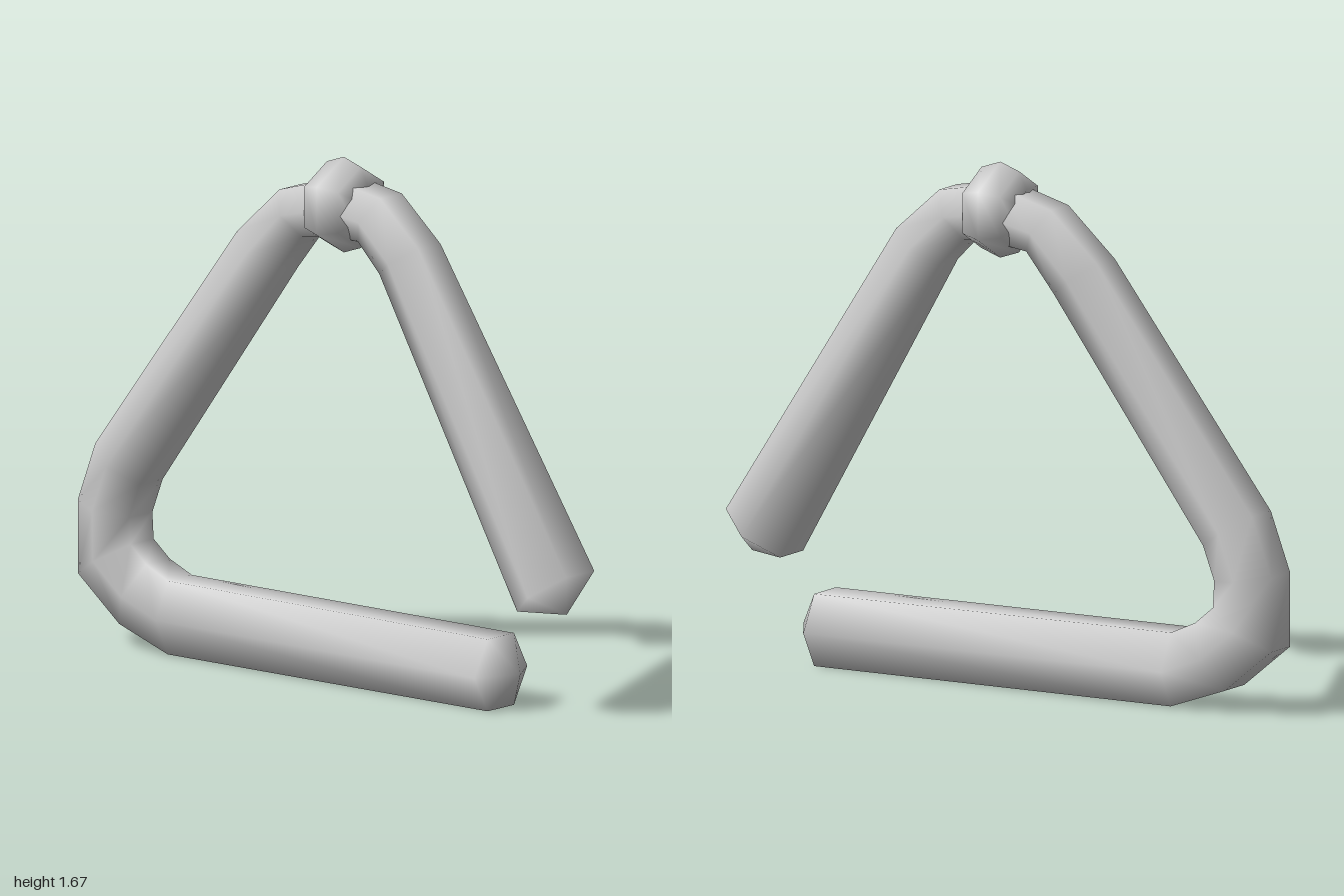
import * as THREE from 'three';

const SIDES = 6;

// Bent bar: stations of [outerX, outerY, innerX, innerY, centreZ, radiusZ]
const stations = [
  [0.68, 0.0, 0.68, 0.23, 0.013, 0.129],
  [-0.63, 0.005, -0.63, 0.24, 0.013, 0.118],
  [-0.83, 0.075, -0.72, 0.28, 0.012, 0.115],
  [-1.0, 0.215, -0.785, 0.335, 0.012, 0.113],
  [-1.0, 0.45, -0.79, 0.42, 0.012, 0.113],
  [-0.93, 0.64, -0.75, 0.53, 0.01, 0.113],
  [-0.37, 1.39, -0.21, 1.28, -0.01, 0.106],
  [-0.2, 1.545, -0.11, 1.405, -0.012, 0.105],
  [0.015, 1.605, 0.02, 1.425, -0.013, 0.105],
  [0.21, 1.57, 0.12, 1.42, -0.013, 0.106],
  [0.37, 1.43, 0.21, 1.33, -0.01, 0.108],
  [1.0, 0.47, 0.8, 0.335, 0.008, 0.137],
];

function barGeometry() {
  const pos = [];
  const index = [];
  // Hexagonal rings with a corner towards the front and back
  for (const [ox, oy, ix, iy, cz, rz] of stations) {
    for (let k = 0; k < SIDES; k++) {
      const a = (k / SIDES) * Math.PI * 2;
      const s = Math.sin(a) / Math.sin(Math.PI / 3) / 2;
      pos.push((ox + ix) / 2 + (ox - ix) * s, (oy + iy) / 2 + (oy - iy) * s, cz + rz * Math.cos(a));
    }
  }
  // Pointed tips at both ends
  const last = (stations.length - 1) * SIDES;
  const startTip = pos.length / 3;
  pos.push(0.76, 0.118, 0.013, 0.945, 0.333, 0.008);
  for (let k = 0; k < SIDES; k++) {
    const n = (k + 1) % SIDES;
    for (let r = 0; r < last; r += SIDES) {
      const q = r + SIDES;
      index.push(r + k, q + k, r + n, r + n, q + k, q + n);
    }
    index.push(startTip, k, n, startTip + 1, last + n, last + k);
  }
  const geo = new THREE.BufferGeometry();
  geo.setAttribute('position', new THREE.Float32BufferAttribute(pos, 3));
  geo.setIndex(index);
  geo.computeVertexNormals();
  return geo;
}

export function createModel() {
  const group = new THREE.Group();
  group.name = 'triangleInstrument';
  const material = new THREE.MeshStandardMaterial({ color: 0xcccccc });

  const bar = new THREE.Mesh(barGeometry(), material);
  bar.name = 'bentBar';
  group.add(bar);

  // Hanging cord wrapped round the top of the bar
  const cord = new THREE.TorusGeometry(0.073, 0.08, 8, 6);
  cord.rotateZ(Math.PI / 2);
  cord.rotateY(Math.PI / 2);
  cord.scale(1.22, 1, 1);
  const loop = new THREE.Mesh(cord, material);
  loop.name = 'cordLoop';
  loop.position.set(0.018, 1.517, -0.013);
  group.add(loop);

  return group;
}
